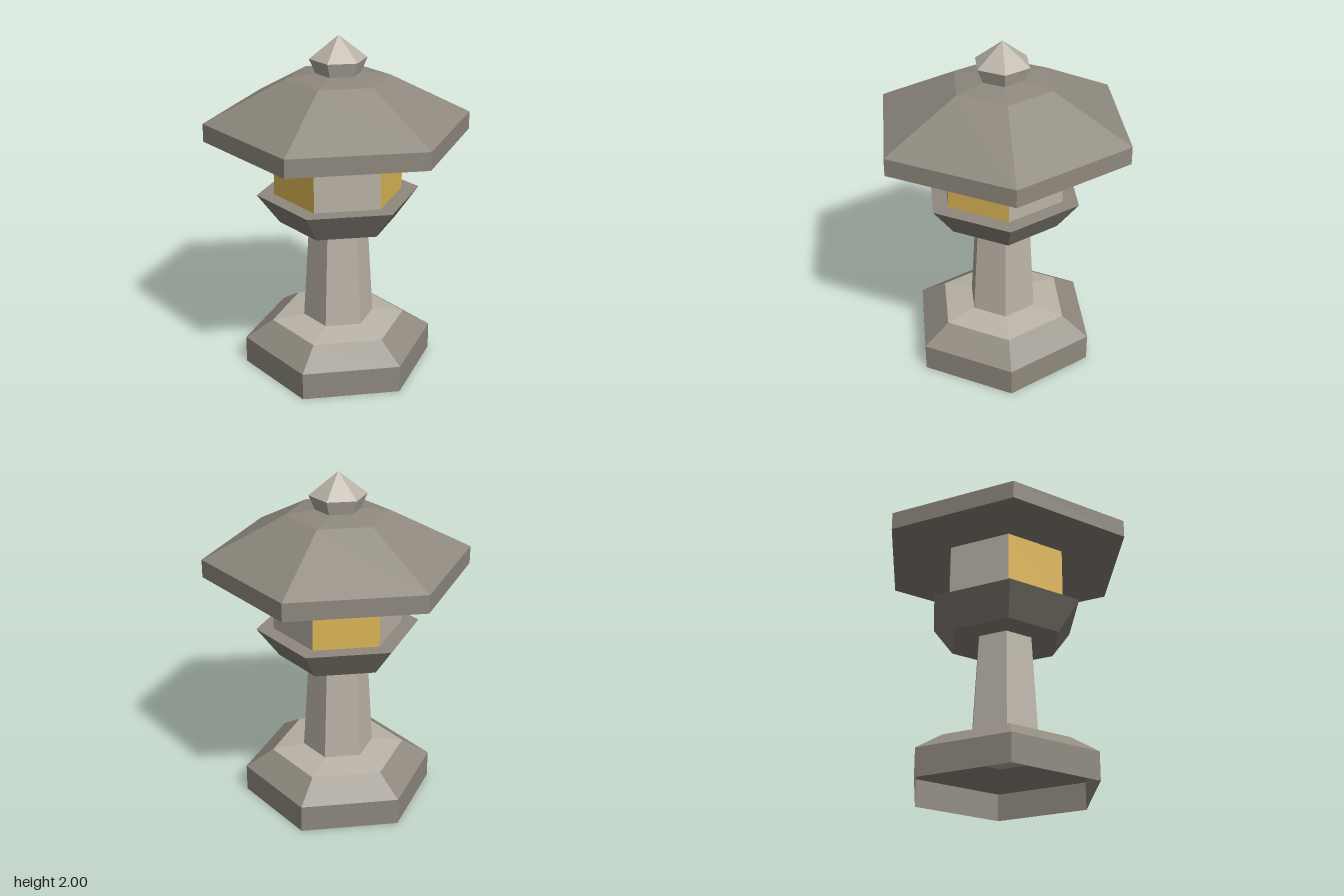
import * as THREE from 'three';

const stone = (name, color) => new THREE.MeshStandardMaterial({
  name, color, flatShading: true, side: THREE.DoubleSide,
});

export function createModel() {
  const group = new THREE.Group();
  group.name = 'stoneLantern';
  const darkStone = stone('darkStone', 0x8f897e);
  const lightStone = stone('lightStone', 0xbab3a7);
  const glow = stone('warmGlow', 0xdcb655);

  // Faceted shell from a [radius, height] profile, corners on the x axis
  function hexShell(name, material, profile, sides = 6, start = Math.PI / 2) {
    const points = profile.map(([r, y]) => new THREE.Vector2(r, y));
    const geometry = new THREE.LatheGeometry(points, sides, start, sides * Math.PI / 3).toNonIndexed();
    geometry.computeVertexNormals();
    const mesh = new THREE.Mesh(geometry, material);
    mesh.name = name;
    group.add(mesh);
  }

  // Hollow foot, open underneath
  hexShell('base', darkStone, [[0.565, 0], [0.565, 0.162], [0.4, 0.267]]);
  hexShell('baseTop', lightStone, [[0.4, 0.267], [0.21, 0.295]]);
  hexShell('column', lightStone, [[0.21, 0.295], [0.173, 0.905]]);

  // Flared platform under the light chamber
  hexShell('platform', darkStone, [[0.173, 0.905], [0.345, 0.905], [0.476, 1.08], [0.375, 1.08]]);

  // Light chamber: glowing windows alternate with stone walls
  for (let i = 0; i < 6; i++) {
    const isWindow = i % 2 === 0;
    hexShell(isWindow ? 'window' : 'chamberWall', isWindow ? glow : lightStone,
      [[0.375, 1.08], [0.375, 1.42]], 1, (i - 0.5) * Math.PI / 3);
  }

  // Wide roof with flat eaves, then the pointed finial
  hexShell('roof', darkStone,
    [[0.375, 1.42], [0.766, 1.42], [0.766, 1.524], [0.3, 1.762], [0.13, 1.787]]);
  hexShell('finial', lightStone, [[0.13, 1.787], [0.165, 1.87], [0, 2]]);

  return group;
}
